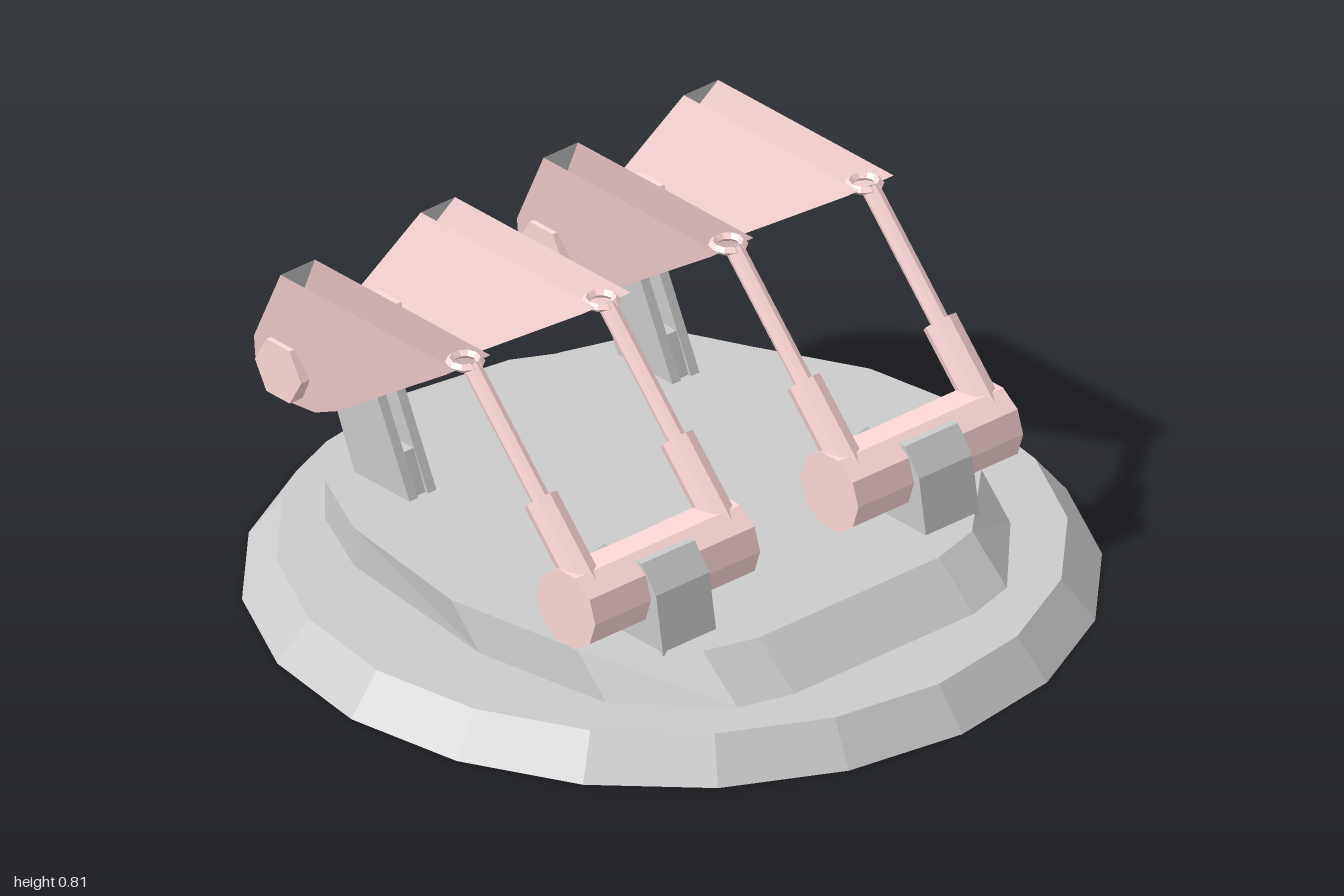
import * as THREE from 'three';

const grey = new THREE.MeshStandardMaterial({ color: 0xcccccc, flatShading: true, side: THREE.DoubleSide });
const pink = new THREE.MeshStandardMaterial({ color: 0xffd8d8, flatShading: true, side: THREE.DoubleSide });

function add(parent, name, geometry, material) {
  const mesh = new THREE.Mesh(geometry, material);
  mesh.name = name;
  parent.add(mesh);
  return mesh;
}

const shapeOf = (pts) => new THREE.Shape(pts.map(([a, b]) => new THREE.Vector2(a, b)));

// Side profile of [z, y] points given a width along x
function sideExtrude(pts, width) {
  const g = new THREE.ExtrudeGeometry(shapeOf(pts), { depth: width, bevelEnabled: false });
  return g.translate(0, 0, -width / 2).rotateY(-Math.PI / 2);
}

// Cylinder between two [y, z] points in the plane x
function rodBetween(parent, name, x, from, to, radius, sides) {
  const a = new THREE.Vector3(x, ...from), b = new THREE.Vector3(x, ...to);
  const mesh = add(parent, name, new THREE.CylinderGeometry(radius, radius, a.distanceTo(b), sides), pink);
  mesh.position.copy(a).lerp(b, 0.5);
  mesh.quaternion.setFromUnitVectors(new THREE.Vector3(0, 1, 0), b.sub(a).normalize());
}

// Arm outline, starting at the tip, along the underside and up the rear
const armProfile = [
  [0.01, 0.81], [-0.03, 0.78], [-0.48, 0.47], [-0.56, 0.43], [-0.64, 0.42],
  [-0.72, 0.425], [-0.75, 0.5], [-0.74, 0.57], [-0.595, 0.81],
];
// Both walls of an arm lean inward towards the bottom
const outerX = (y) => 0.272 - 0.2 * (0.81 - y);
const innerX = (y) => 0.165 - 0.27 * (0.81 - y);

function armWall(xOfY, side) {
  const g = new THREE.ShapeGeometry(shapeOf(armProfile)).rotateY(-Math.PI / 2);
  const p = g.attributes.position;
  for (let i = 0; i < p.count; i++) p.setX(i, side * xOfY(p.getY(i)));
  g.computeVertexNormals();
  return g;
}

// Strip joining the two walls under and behind; the top stays open
function armRim(side) {
  const pos = [], index = [];
  armProfile.forEach(([z, y], i) => {
    pos.push(side * outerX(y), y, z, side * innerX(y), y, z);
    if (i) {
      const k = 2 * i;
      if (side > 0) index.push(k - 2, k - 1, k, k - 1, k + 1, k);
      else index.push(k - 2, k, k - 1, k - 1, k, k + 1);
    }
  });
  const g = new THREE.BufferGeometry();
  g.setAttribute('position', new THREE.Float32BufferAttribute(pos, 3));
  g.setIndex(index);
  const flat = g.toNonIndexed();
  flat.computeVertexNormals();
  return flat;
}

function createArm(side) {
  const arm = new THREE.Group();
  arm.name = side > 0 ? 'leftArm' : 'rightArm';
  add(arm, 'outerWall', armWall(outerX, side), pink);
  add(arm, 'innerWall', armWall(innerX, side), pink);
  add(arm, 'armRim', armRim(side), grey);

  // Piston: sleeve, thin rod and the eye at the arm tip
  const x = side * 0.212;
  rodBetween(arm, 'pistonSleeve', x, [0.35, 0.415], [0.54, 0.235], 0.043, 8);
  rodBetween(arm, 'pistonRod', x, [0.5, 0.273], [0.795, -0.005], 0.023, 8);
  const eye = add(arm, 'rodEye', new THREE.TorusGeometry(0.036, 0.011, 4, 10), pink);
  eye.rotation.x = Math.PI / 2;
  eye.position.set(x, 0.797, -0.025);
  return arm;
}

function createUnit(cx) {
  const unit = new THREE.Group();
  unit.name = cx > 0 ? 'leftUnit' : 'rightUnit';
  unit.position.x = cx;

  // Front bracket and the roller running through it
  add(unit, 'frontBracket', sideExtrude([
    [0.515, 0.19], [0.49, 0.34], [0.44, 0.405], [0.31, 0.405], [0.25, 0.34], [0.23, 0.19],
  ], 0.166), grey);
  const roller = add(unit, 'roller', new THREE.CylinderGeometry(0.1, 0.1, 0.514, 10), pink);
  roller.rotation.z = Math.PI / 2;
  roller.position.set(0, 0.322, 0.373);

  // Rear post: two prongs on a solid foot
  const prong = [
    [-0.4, 0.19], [-0.59, 0.19], [-0.69, 0.42], [-0.74, 0.5],
    [-0.72, 0.575], [-0.67, 0.605], [-0.6, 0.605], [-0.56, 0.55], [-0.52, 0.44],
  ];
  for (const s of [-1, 1]) {
    const mesh = add(unit, 'postProng', sideExtrude(prong, 0.026), grey);
    mesh.position.x = s * 0.029;
  }
  add(unit, 'postFoot', sideExtrude([[-0.41, 0.19], [-0.585, 0.19], [-0.63, 0.3], [-0.455, 0.3]], 0.06), grey);

  // Hexagonal axle; its ends show as bolt heads on the arms
  const axle = add(unit, 'axle', new THREE.CylinderGeometry(0.08, 0.08, 0.484, 6), pink);
  axle.rotation.z = Math.PI / 2;
  axle.position.set(0, 0.525, -0.637);

  unit.add(createArm(1), createArm(-1));
  return unit;
}

export function createModel() {
  const model = new THREE.Group();
  model.name = 'twinArmMachine';

  // Round base with a sloped edge
  add(model, 'baseDisc', new THREE.CylinderGeometry(0.92, 1, 0.1, 20), grey).position.y = 0.05;

  // Raised deck, vertical behind and sloping at the front
  const half = [
    [0.28, 0.73], [0.42, 0.69], [0.63, 0.47], [0.69, 0.1], [0.63, -0.4], [0.53, -0.61], [0.28, -0.69],
  ];
  const outline = [...half, [0, -0.73], ...half.slice().reverse().map(([x, z]) => [-x, z])];
  const deck = new THREE.ExtrudeGeometry(shapeOf(outline.map(([x, z]) => [x, -z])), { depth: 0.1, bevelEnabled: false });
  deck.rotateX(-Math.PI / 2).translate(0, 0.1, 0);
  const p = deck.attributes.position;
  for (let i = 0; i < p.count; i++) {
    const z = p.getZ(i);
    if (p.getY(i) > 0.15 && z > 0) p.setZ(i, z - (z > 0.6 ? 0.12 : 0.1));
  }
  deck.computeVertexNormals();
  add(model, 'deck', deck, grey);

  for (const cx of [-0.41, 0.41]) model.add(createUnit(cx));
  return model;
}
